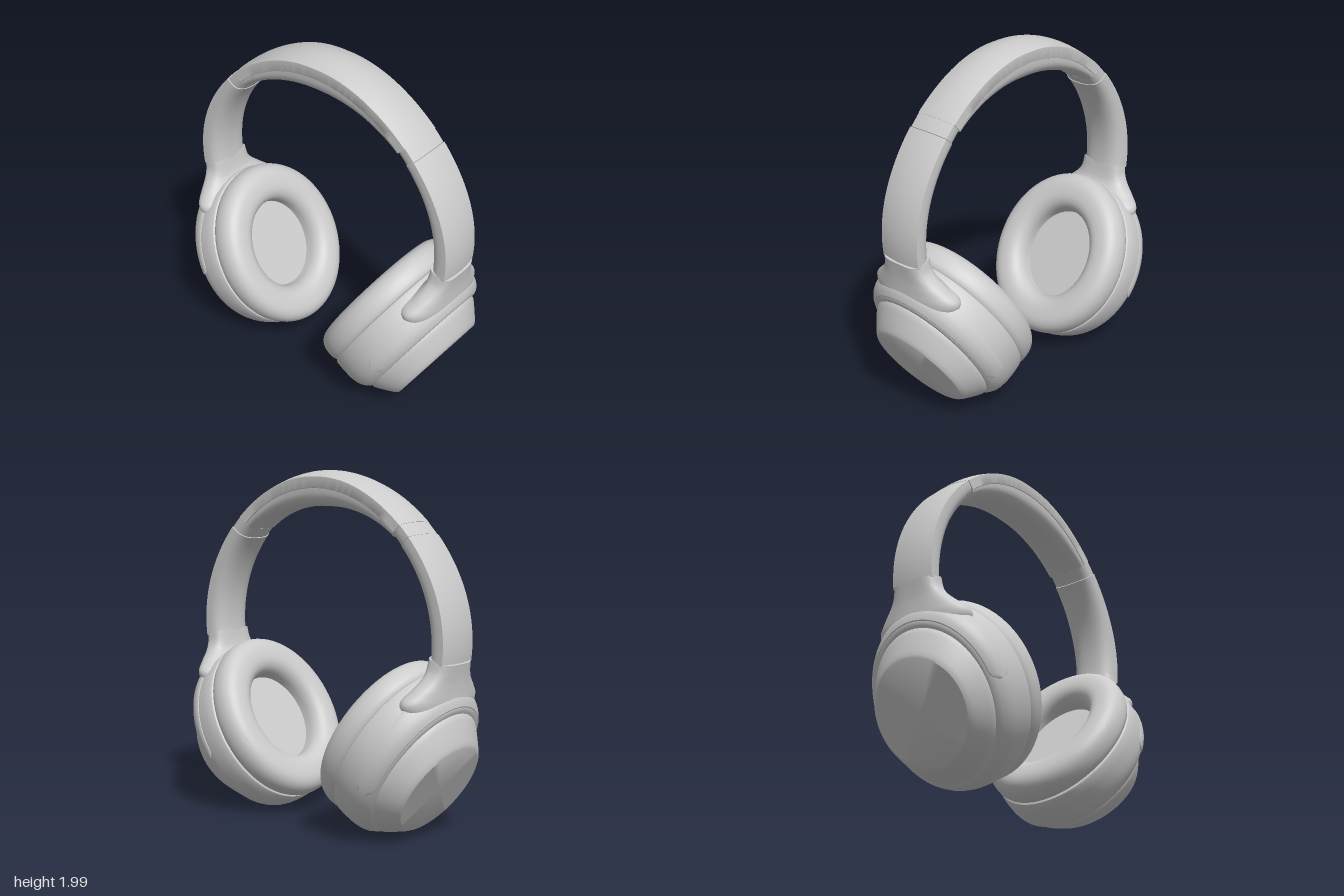
import * as THREE from 'three';
import { toCreasedNormals } from 'three/addons/utils/BufferGeometryUtils.js';

const material = new THREE.MeshStandardMaterial({ color: 0xcccccc, roughness: 0.7 });
const DEG = Math.PI / 180;
const spow = (c, p) => Math.sign(c) * Math.abs(c) ** p;

// Closed solid through rings of equal point count, capped at both ends
function loft(name, rings, crease = 0.6) {
  const n = rings[0].length, pos = [], idx = [];
  rings.forEach(r => r.forEach(p => pos.push(p.x, p.y, p.z)));
  for (let i = 0; i < rings.length - 1; i++) {
    for (let j = 0; j < n; j++) {
      const a = i * n + j, b = i * n + (j + 1) % n;
      idx.push(a, b, a + n, b, b + n, a + n);
    }
  }
  [0, rings.length - 1].forEach(i => {
    const c = rings[i].reduce((s, p) => s.add(p), new THREE.Vector3()).divideScalar(n);
    const k = pos.length / 3;
    pos.push(c.x, c.y, c.z);
    for (let j = 0; j < n; j++) {
      const a = i * n + j, b = i * n + (j + 1) % n;
      idx.push(k, ...(i ? [a, b] : [b, a]));
    }
  });
  // Turn faces outward by the sign of the enclosed volume
  const v = k => new THREE.Vector3().fromArray(pos, idx[k] * 3);
  let volume = 0;
  for (let k = 0; k < idx.length; k += 3) volume += v(k).dot(v(k + 1).cross(v(k + 2)));
  if (volume < 0) idx.reverse();
  const g = new THREE.BufferGeometry();
  g.setAttribute('position', new THREE.Float32BufferAttribute(pos, 3));
  g.setIndex(idx);
  const mesh = new THREE.Mesh(toCreasedNormals(g, crease), material);
  mesh.name = name;
  return mesh;
}

// ---- Headband: sections swept over an arch, angle measured from the crown ----
const outerR = a => 0.8875 + 0.0125 * Math.cos(4 * a);
function bandPart(name, from, to, section, steps = 32) {
  const rings = [];
  for (let i = 0; i <= steps; i++) {
    const a = (from + (to - from) * i / steps) * DEG;
    rings.push(section(a).map(([r, z]) =>
      new THREE.Vector3(r * Math.sin(a), 1.1 + r * Math.cos(a), z)));
  }
  return loft(name, rings);
}
// Crowned outside, rounded inside
function dSection(outer, crown, edge, inner, w) {
  const pts = [];
  for (let i = 0; i <= 10; i++) {
    const t = i / 5 - 1;
    pts.push([outer - crown * t * t, t * w]);
  }
  for (let i = 0; i <= 18; i++) {
    const f = i / 18 * Math.PI;
    pts.push([edge - (edge - inner) * Math.max(0, Math.sin(f)) ** 0.75, w * spow(Math.cos(f), 0.75)]);
  }
  return pts;
}
const padInner = a => 0.7 + 0.06 * Math.min(1, Math.abs(a) / (43 * DEG)) ** 1.6;
const armSection = (w, grow) => a =>
  dSection(outerR(a) + grow, 0.014, outerR(a) - 0.035, 0.757 + 0.015 * Math.max(0, a / DEG - 49) / 47 - grow, w);

// ---- Ear cup frame: v runs up the tilted cup, n points outward along its axis ----
const cupPoint = (side, v, z, n) => new THREE.Vector3(side * (0.51 * v + 0.86 * n), 0.86 * v - 0.51 * n, z);
// profile rows: [n, half height, half depth, centre v]
function cupPart(name, side, profile, crease) {
  return loft(name, profile.map(([n, rv, rz = rv * 0.877, vc = 0.68]) =>
    Array.from({ length: 72 }, (_, j) => {
      const t = j / 72 * 2 * Math.PI;
      return cupPoint(side, vc + rv * Math.cos(t), rz * Math.sin(t), n);
    })), crease);
}

const shellProfile = [[0.142, 0.478], [0.148, 0.488], [0.16, 0.493], [0.21, 0.495], [0.27, 0.492],
  [0.31, 0.484], [0.34, 0.472], [0.365, 0.452], [0.385, 0.428]];
function shellRadius(n) {
  const k = Math.max(1, shellProfile.findIndex(p => p[0] >= n));
  const [a, b] = [shellProfile[k - 1], shellProfile[k]];
  return THREE.MathUtils.mapLinear(n, a[0], b[0], a[1], b[1]);
}

// Raised strip over the top of the shell, with rounded tips front and rear
function yokeStrip(side) {
  const rings = [], front = 87, rear = -103, steps = 80;
  for (let i = 0; i <= steps; i++) {
    const u = (1 - Math.cos(i / steps * Math.PI)) / 2;
    const deg = front + (rear - front) * u, t = deg * DEG;
    const d = Math.max(0, 1 - Math.min(front - deg, deg - rear) / 7);
    const round = Math.max(0.03, Math.sqrt(1 - d * d));
    const low = 0.285 - 0.06 * Math.max(0, Math.cos(t)) ** 2;
    const mid = (low + 0.38) / 2, half = (0.38 - low) / 2 * round;
    const ring = [];
    for (let k = 0; k <= 8; k++) {
      const n = mid + half * (k / 4 - 1), r = shellRadius(n) + (k % 8 ? 0.01 : 0.006);
      ring.push([n, r]);
    }
    ring.push([mid + half, 0.41], [mid - half, 0.41]);
    rings.push(ring.map(([n, r]) => cupPoint(side, 0.68 + r * Math.cos(t), r * 0.877 * Math.sin(t), n)));
  }
  return loft('yokeStrip', rings);
}

// Neck joining the band end to the cup; rows: inner x, outer x, inner y, outer y, half depth, squareness
function yokeNeck(side) {
  const rows = [
    [0.77, 0.905, 1.04, 1.0, 0.132, 0.55], [0.757, 0.897, 0.97, 0.95, 0.145, 0.6],
    [0.74, 0.891, 0.925, 0.9, 0.18, 0.75], [0.7, 0.888, 0.875, 0.845, 0.24, 0.9],
    [0.64, 0.886, 0.82, 0.79, 0.295, 1], [0.62, 0.876, 0.74, 0.735, 0.27, 1],
    [0.6, 0.82, 0.64, 0.66, 0.18, 1]];
  const curves = rows[0].map((_, c) => new THREE.CatmullRomCurve3(rows.map((r, i) => new THREE.Vector3(i, r[c], 0))));
  const rings = [];
  for (let i = 0; i <= 30; i++) {
    const [xi, xo, yi, yo, w, p] = curves.map(c => c.getPoint(i / 30).y);
    rings.push(Array.from({ length: 48 }, (_, j) => {
      const t = j / 48 * 2 * Math.PI, s = (spow(Math.cos(t), p) + 1) / 2;
      return new THREE.Vector3(side * (xi + (xo - xi) * s), yi + (yo - yi) * s, w * spow(Math.sin(t), p));
    }));
  }
  return loft('yokeNeck', rings, 0.9);
}

function earCup(side) {
  const cup = new THREE.Group();
  cup.name = side > 0 ? 'leftEarCup' : 'rightEarCup';
  // Ear cushion: rounded ring profile from the seam, over the crest, into the opening
  const crest = [];
  for (let i = 0; i <= 22; i++) {
    const f = i / 22 * Math.PI;
    const c = Math.cos(f), s = Math.sin(f);
    crest.push([0.09 - 0.108 * s ** 0.85, 0.38 + 0.115 * spow(c, 0.8)]);
  }
  cup.add(
    cupPart('earCushion', side, [[0.146, 0.47], [0.138, 0.483], [0.115, 0.493], ...crest, [0.13, 0.262]], 0.8),
    cupPart('driverCover', side, [[0.14, 0.29], [0.112, 0.29]]),
    cupPart('cupShell', side, [...shellProfile, [0.388, 0.41]]),
    cupPart('outerCap', side, [[0.37, 0.405, 0.355, 0.666], [0.39, 0.412, 0.362, 0.666],
      [0.4, 0.41, 0.361, 0.665], [0.42, 0.393, 0.352, 0.664], [0.46, 0.353, 0.33, 0.662],
      [0.495, 0.317, 0.308, 0.66], [0.51, 0.298, 0.295, 0.66], [0.517, 0.284, 0.284, 0.66]], 0.5),
    yokeStrip(side), yokeNeck(side));
  return cup;
}

export function createModel() {
  const model = new THREE.Group();
  model.name = 'headphones';
  // Crown of the band and the pad under it
  model.add(
    bandPart('bandShell', -43.5, 43.5, a => {
      const o = outerR(a), k = Math.abs(a) / (43.5 * DEG);
      return dSection(o, 0.034 - 0.018 * k, 0.808 - 0.006 * k, 0.795, 0.132);
    }, 56),
    bandPart('bandPad', -43.5, 43.5, a => dSection(0.82, 0.002, 0.802, padInner(a), 0.127), 56));
  // Sliders, arms and cups on both sides
  for (const side of [1, -1]) {
    model.add(
      bandPart('bandClamp', side * 43.5, side * 49, a => armSection(0.128, -0.002)(Math.abs(a)), 6),
      bandPart('bandArm', side * 49.2, side * 96.5, a => armSection(0.132, 0.001)(Math.abs(a))),
      earCup(side));
  }
  return model;
}
